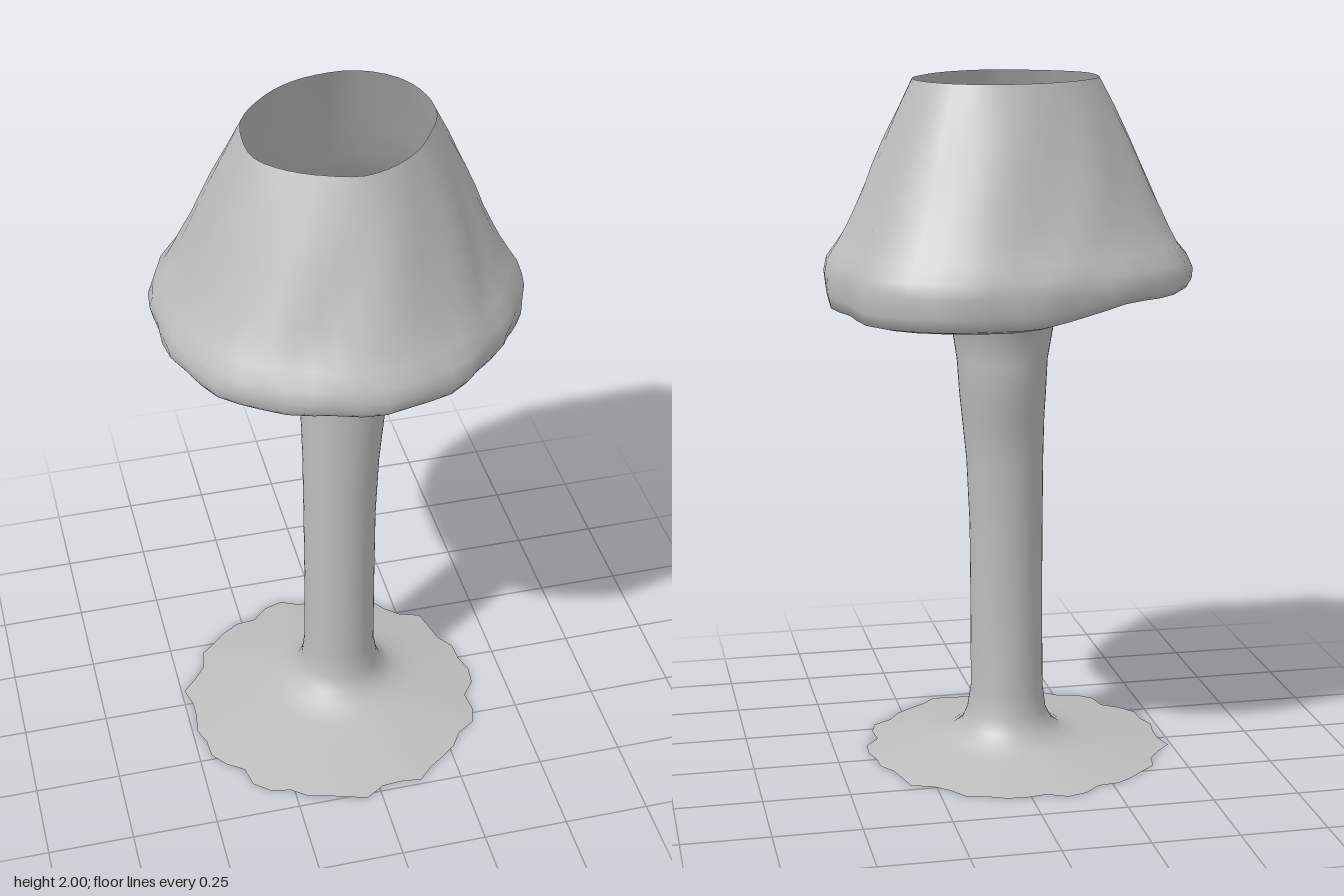
import * as THREE from 'three';

const SEGMENTS = 48;
const TAU = Math.PI * 2;

// Radii every 22.5 degrees, starting at +x and turning towards +z
const openingRadii = [0.262, 0.236, 0.234, 0.242, 0.255, 0.25, 0.26, 0.275,
  0.265, 0.265, 0.26, 0.27, 0.285, 0.305, 0.305, 0.285];
const rimRadii = [0.52, 0.49, 0.48, 0.5, 0.51, 0.51, 0.53, 0.525,
  0.52, 0.535, 0.52, 0.5, 0.515, 0.56, 0.595, 0.525];

// Smooth closed interpolation of a list of radii
function radiusAt(list, angle) {
  const n = list.length;
  const s = (angle / TAU) * n;
  const i = Math.floor(s), t = s - i;
  const [a, b, c, d] = [-1, 0, 1, 2].map((k) => list[(i + k + n) % n]);
  return b + 0.5 * t * (c - a + t * (2 * a - 5 * b + 4 * c - d + t * (3 * (b - c) + d - a)));
}

// The rim sags on the back right side
function sag(angle) {
  const c = Math.cos(angle - TAU * 0.89);
  return 0.057 * THREE.MathUtils.smoothstep(c, 0.1, 0.75);
}

// Shade wall: [height, blend from opening to rim, share of the sag]
const shadeProfile = [[2, 0, 0], [1.92, 0.15, 0], [1.83, 0.31, 0], [1.76, 0.43, 0],
  [1.7, 0.53, 0], [1.64, 0.64, 0], [1.59, 0.73, 0], [1.54, 0.85, 0], [1.5, 0.96, 0],
  [1.465, 1, 0.1], [1.435, 0.985, 0.5], [1.42, 0.95, 0.85]];

// Underside: [height, blend from stem top to rim]
const underProfile = [[1.417, 0.85], [1.416, 0.55], [1.415, 0.25]];

// Stem: [height, centre x, centre z, radius x, radius z, share of the sag]
const stemProfile = [[1.405, 0.012, -0.01, 0.18, 0.175, 1], [1.36, 0.008, -0.01, 0.163, 0.158, 0.7],
  [1.3, 0.005, 0, 0.147, 0.138, 0.2], [1.2, 0.008, -0.004, 0.131, 0.131, 0],
  [1.1, 0.007, -0.004, 0.125, 0.13, 0], [1.03, 0.003, 0.008, 0.12, 0.117, 0],
  [0.9, -0.003, 0.013, 0.112, 0.112, 0], [0.7, -0.008, 0.018, 0.107, 0.108, 0],
  [0.45, -0.009, 0.02, 0.106, 0.106, 0], [0.2, -0.01, 0.018, 0.107, 0.109, 0],
  [0.13, -0.009, 0.018, 0.117, 0.119, 0], [0.09, -0.01, 0.018, 0.135, 0.137, 0]];

// Foot: [height, centre x, centre z, radius]
const footProfile = [[0.062, -0.01, 0.02, 0.168], [0.043, -0.015, 0.03, 0.215],
  [0.03, -0.025, 0.04, 0.28], [0.015, -0.035, 0.05, 0.36], [0, -0.045, 0.06, 0.44]];

export function createModel() {
  const grey = new THREE.MeshStandardMaterial({ color: 0xbdbdbd, side: THREE.DoubleSide });
  grey.name = 'grey';

  const rings = []; // each ring maps an angle to a point

  // Outer wall of the shade, slightly lumpy
  for (const [y, blend, drop] of shadeProfile) {
    rings.push((a) => {
      const lump = 0.006 * Math.sin(blend * Math.PI) * Math.sin(9 * a + y * 8)
        + 0.005 * blend * Math.sin(14 * a + y * 25);
      const r = THREE.MathUtils.lerp(radiusAt(openingRadii, a), radiusAt(rimRadii, a), blend) + lump;
      return [r * Math.cos(a), y - drop * sag(a), r * Math.sin(a)];
    });
  }
  const shadeEnd = rings.length - 1;

  // Underside running in to the stem
  for (const [y, blend] of underProfile) {
    rings.push((a) => {
      const r = THREE.MathUtils.lerp(0.178, radiusAt(rimRadii, a), blend);
      return [r * Math.cos(a), y - sag(a), r * Math.sin(a)];
    });
  }
  const underEnd = rings.length;

  // Hollow stem
  for (const [y, cx, cz, rx, rz, drop] of stemProfile) {
    rings.push((a) => [cx + rx * Math.cos(a), y - drop * sag(a), cz + rz * Math.sin(a)]);
  }
  const stemEnd = rings.length - 1;

  // Thin spreading foot with a ragged edge
  footProfile.forEach(([y, cx, cz, radius], i) => {
    const edge = i === footProfile.length - 1 ? 1 : 0;
    rings.push((a) => {
      const r = radius + edge * (0.012 * Math.sin(17 * a) + 0.01 * Math.sin(11 * a + 2));
      return [cx + r * Math.cos(a), y, cz + r * Math.sin(a)];
    });
  });

  // One continuous skin, so that normals run smoothly from part to part
  const positions = [];
  for (const ring of rings) {
    for (let j = 0; j < SEGMENTS; j++) positions.push(...ring((j / SEGMENTS) * TAU));
  }
  const skinIndex = (from, to) => {
    const index = [];
    for (let i = from; i < to; i++) {
      for (let j = 0; j < SEGMENTS; j++) {
        const k = (j + 1) % SEGMENTS;
        const a = i * SEGMENTS + j, b = i * SEGMENTS + k;
        index.push(a, b, a + SEGMENTS, b, b + SEGMENTS, a + SEGMENTS);
      }
    }
    return index;
  };
  const skin = new THREE.BufferGeometry();
  skin.setAttribute('position', new THREE.Float32BufferAttribute(positions, 3));
  skin.setIndex(skinIndex(0, rings.length - 1));
  skin.computeVertexNormals();

  // Split the skin into its parts
  const group = new THREE.Group();
  group.name = 'lamp';
  const parts = [['shade', 0, shadeEnd], ['shadeUnderside', shadeEnd, underEnd],
    ['stem', underEnd, stemEnd], ['foot', stemEnd, rings.length - 1]];
  for (const [name, from, to] of parts) {
    const geometry = skin.clone();
    geometry.setIndex(skinIndex(from, to));
    const mesh = new THREE.Mesh(geometry, grey);
    mesh.name = name;
    group.add(mesh);
  }
  return group;
}
